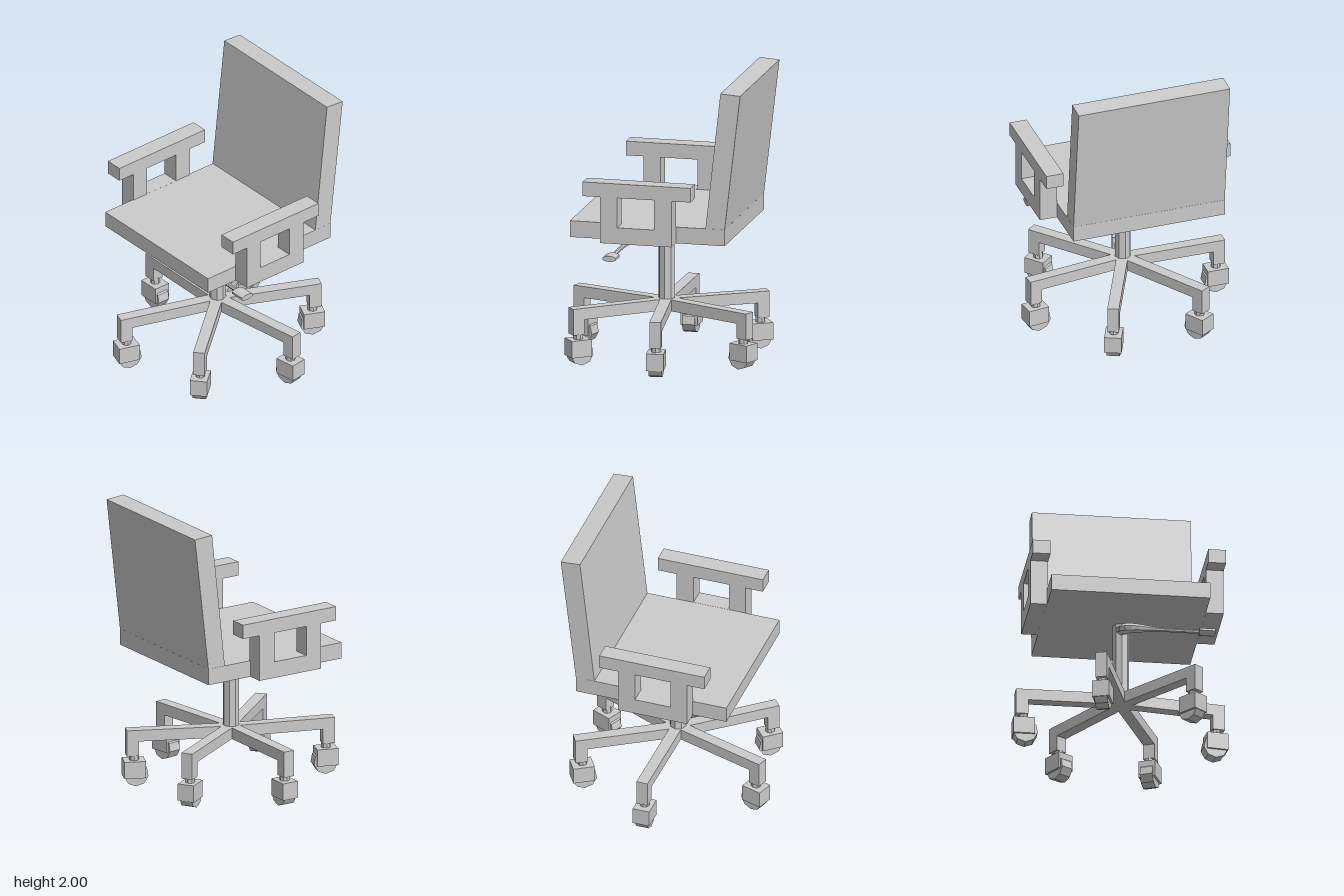
import * as THREE from 'three';

const material = new THREE.MeshStandardMaterial({ color: 0xcccccc, flatShading: true });

function add(parent, name, geometry, x = 0, y = 0, z = 0) {
  const mesh = new THREE.Mesh(geometry, material);
  mesh.name = name;
  mesh.position.set(x, y, z);
  parent.add(mesh);
  return mesh;
}

const points = (list) => list.map(([a, b]) => new THREE.Vector2(a, b));

// Extrudes a profile of [z, y] points along x, centred on x = 0
function sideProfile(outline, width, hole) {
  const shape = new THREE.Shape(points(outline));
  if (hole) shape.holes.push(new THREE.Path(points(hole)));
  const geometry = new THREE.ExtrudeGeometry(shape, { depth: width, bevelEnabled: false });
  return geometry.translate(0, 0, -width / 2).rotateY(-Math.PI / 2);
}

// One base leg with its caster, pointing along +x
function createLeg() {
  const leg = new THREE.Group();
  const beam = new THREE.Shape(points([
    [0, 0.32], [0.645, 0.32], [0.645, 0.215], [0.73, 0.215], [0.73, 0.4], [0, 0.4],
  ]));
  const beamGeometry = new THREE.ExtrudeGeometry(beam, { depth: 0.08, bevelEnabled: false });
  add(leg, 'legBeam', beamGeometry, 0, 0, -0.04);
  add(leg, 'casterStem', new THREE.CylinderGeometry(0.034, 0.034, 0.06, 8), 0.675, 0.195, 0);
  add(leg, 'casterHousing', new THREE.BoxGeometry(0.15, 0.12, 0.12), 0.675, 0.12, 0);
  const wheel = new THREE.CylinderGeometry(0.086, 0.086, 0.09, 9).rotateX(Math.PI / 2);
  add(leg, 'casterWheel', wheel, 0.665, 0.085, 0);
  return leg;
}

// Tilt lever: leaves the column forwards, then sweeps sideways and thins out
function createLever() {
  const lever = new THREE.Group();
  const path = new THREE.CatmullRomCurve3([
    [0, 0.885, 0.02], [0, 0.855, 0.1], [0.005, 0.81, 0.21],
    [0.06, 0.803, 0.24], [0.2, 0.802, 0.24], [0.53, 0.802, 0.24],
  ].map((p) => new THREE.Vector3(...p)));
  const tube = new THREE.TubeGeometry(path, 20, 1, 7, false);
  const position = tube.attributes.position;
  const vertex = new THREE.Vector3();
  for (let i = 0; i < position.count; i++) {
    const u = tube.attributes.uv.getX(i);
    const centre = path.getPointAt(u);
    const radius = THREE.MathUtils.lerp(0.038, 0.015, THREE.MathUtils.smoothstep(u, 0.25, 0.65));
    vertex.fromBufferAttribute(position, i).sub(centre).multiplyScalar(radius).add(centre);
    position.setXYZ(i, vertex.x, vertex.y, vertex.z);
  }
  add(lever, 'leverRod', tube);
  const paddle = new THREE.CylinderGeometry(0.05, 0.05, 0.11, 8, 1, false, Math.PI / 8);
  paddle.rotateZ(Math.PI / 2).scale(1, 0.42, 1);
  add(lever, 'leverPaddle', paddle, 0.563, 0.802, 0.24);
  return lever;
}

export function createModel() {
  const chair = new THREE.Group();
  chair.name = 'officeChair';

  // Seat and reclined backrest
  add(chair, 'seat', new THREE.BoxGeometry(1.1, 0.115, 1.095), 0, 0.982, -0.0125);
  add(chair, 'backrest', sideProfile([
    [-0.56, 1.04], [-0.425, 1.04], [-0.53, 2.0], [-0.67, 1.99],
  ], 1.1));

  // Armrests: long top pad over a frame with a square opening
  const armOutline = [
    [-0.215, 0.925], [0.29, 0.925], [0.29, 1.25], [0.415, 1.25],
    [0.415, 1.35], [-0.35, 1.35], [-0.35, 1.25], [-0.215, 1.25],
  ];
  const armOpening = [[-0.09, 1.04], [-0.09, 1.25], [0.17, 1.25], [0.17, 1.04]];
  const armGeometry = sideProfile(armOutline, 0.123, armOpening);
  add(chair, 'leftArmrest', armGeometry, 0.612, 0, 0);
  add(chair, 'rightArmrest', armGeometry, -0.603, 0, 0);

  // Column and lever
  add(chair, 'column', new THREE.CylinderGeometry(0.057, 0.057, 0.6, 8), 0, 0.63, -0.01);
  const lever = createLever();
  lever.name = 'tiltLever';
  chair.add(lever);

  // Six-legged base, slightly uneven in its spread
  const base = new THREE.Group();
  base.name = 'base';
  base.position.z = -0.01;
  [-8, 50, 108, 180.5, 238, 294.5].forEach((degrees) => {
    const leg = createLeg();
    leg.name = 'leg';
    leg.rotation.y = -THREE.MathUtils.degToRad(degrees);
    base.add(leg);
  });
  chair.add(base);

  return chair;
}
